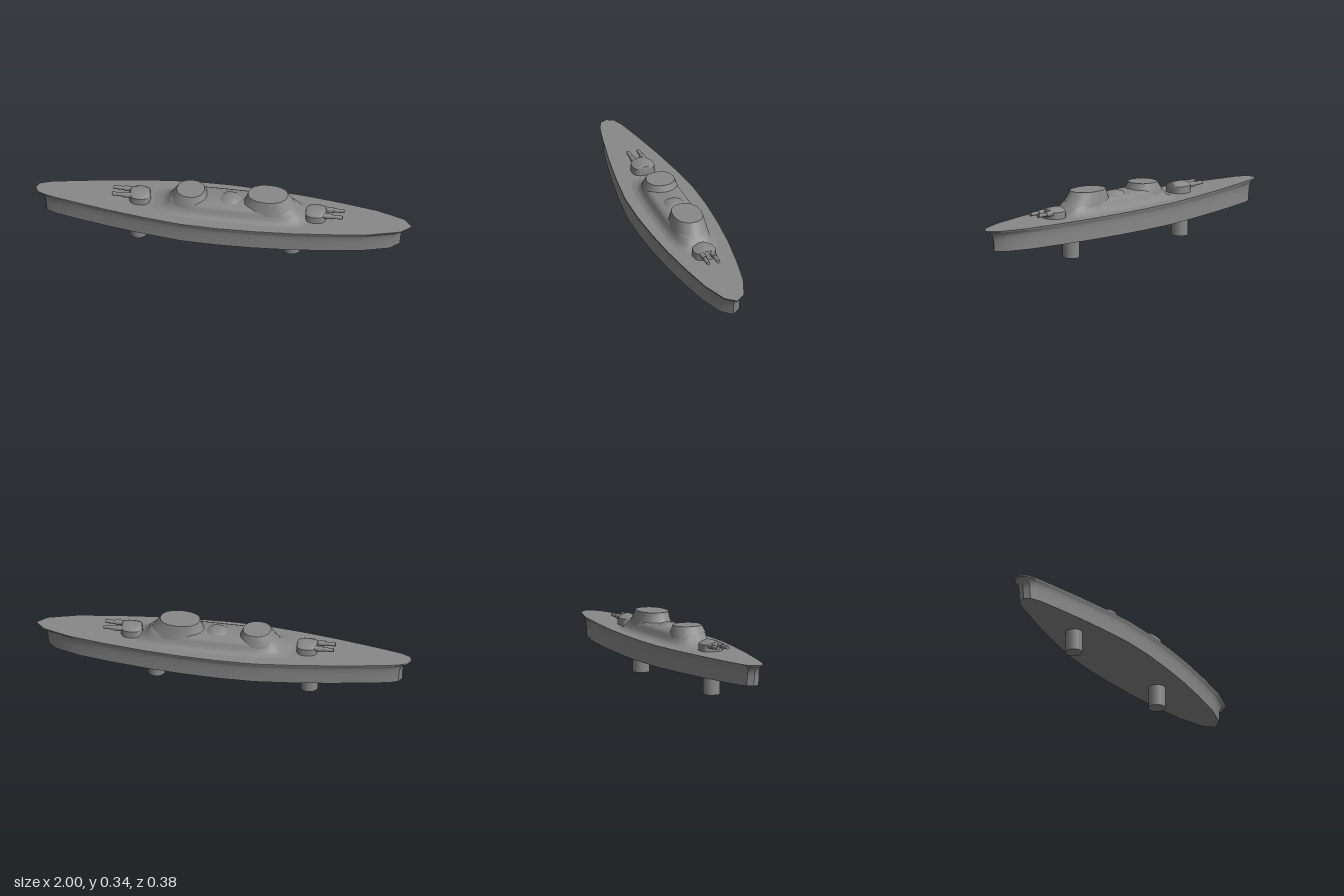
import * as THREE from 'three';
import { toCreasedNormals } from 'three/addons/utils/BufferGeometryUtils.js';

// Skin a stack of closed rings (bottom to top, counter-clockwise from above) and cap both ends
function loft(rings, crease = 0.7) {
  const n = rings[0].length;
  const pos = rings.flat(2);
  const index = [];
  for (let j = 0; j < rings.length - 1; j++) {
    for (let i = 0; i < n; i++) {
      const a = j * n + i, b = j * n + (i + 1) % n;
      index.push(a, b, b + n, a, b + n, a + n);
    }
  }
  const cap = (ring, first, up) => {
    const c = pos.length / 3;
    const xs = ring.map((p) => p[0]);
    pos.push((Math.min(...xs) + Math.max(...xs)) / 2, ring[0][1], 0);
    for (let i = 0; i < n; i++) {
      const a = first + i, b = first + (i + 1) % n;
      if (up) index.push(c, a, b); else index.push(c, b, a);
    }
  };
  cap(rings[0], 0, false);
  cap(rings[rings.length - 1], (rings.length - 1) * n, true);
  const geo = new THREE.BufferGeometry();
  geo.setAttribute('position', new THREE.Float32BufferAttribute(pos, 3));
  geo.setIndex(index);
  return toCreasedNormals(geo, crease);
}

// Half outline mirrored across the centre line; x runs from bow to stern
function mirrorRing(half, y) {
  const far = half.map(([x, z]) => [x, y, -z]);
  const near = half.slice(1, -1).reverse().map(([x, z]) => [x, y, z]);
  return [...far, ...near];
}

// Rounded oblong ring between x0 and x1; power below 1 squares the corners
function ovalRing(y, x0, x1, w, power = 1, n = 32) {
  const soft = (v) => Math.sign(v) * Math.abs(v) ** power;
  return Array.from({ length: n }, (_, i) => {
    const a = (i / n) * Math.PI * 2;
    return [(x0 + x1) / 2 + (x1 - x0) / 2 * soft(Math.cos(a)), y, -w * soft(Math.sin(a))];
  });
}

export function createModel() {
  const grey = new THREE.MeshStandardMaterial({ color: 0x888888 });
  grey.name = 'ship grey';
  const ship = new THREE.Group();
  ship.name = 'warship';
  const add = (name, geo, parent = ship) => {
    const mesh = new THREE.Mesh(geo, grey);
    mesh.name = name;
    parent.add(mesh);
    return mesh;
  };

  // Hull: upright sides flaring out to a thin deck edge
  const deckHalf = [[1, 0], [0.95, 0.055], [0.8, 0.105], [0.6, 0.14], [0.4, 0.167], [0.2, 0.184], [0, 0.192],
    [-0.2, 0.188], [-0.4, 0.163], [-0.6, 0.13], [-0.8, 0.09], [-0.93, 0.06], [-0.985, 0.036], [-1, 0]];
  const hullRing = (y, x0, x1, s) =>
    mirrorRing(deckHalf.map(([x, z]) => [x0 + (x + 1) / 2 * (x1 - x0), z * s]), y);
  add('hull', loft([
    hullRing(0.115, -0.95, 0.935, 0.945),
    hullRing(0.17, -0.953, 0.94, 0.945),
    hullRing(0.2, -0.96, 0.95, 0.955),
    hullRing(0.215, -0.975, 0.968, 0.97),
    hullRing(0.223, -0.998, 0.995, 0.998),
    hullRing(0.231, -1, 1, 1),
  ]));

  // Deckhouse with a skirt blending into the deck
  add('deckhouse', loft([
    ovalRing(0.23, -0.38, 0.46, 0.135, 0.5),
    ovalRing(0.237, -0.335, 0.435, 0.114, 0.5),
    ovalRing(0.25, -0.302, 0.415, 0.102, 0.5),
    ovalRing(0.272, -0.287, 0.397, 0.094, 0.5),
    ovalRing(0.286, -0.275, 0.383, 0.086, 0.5),
    ovalRing(0.294, -0.255, 0.36, 0.07, 0.5),
  ], 0.9));

  // Two flat-topped towers and the small hump between them
  add('lowTower', loft([
    ovalRing(0.265, -0.29, -0.07, 0.094, 0.9, 16),
    ovalRing(0.295, -0.272, -0.09, 0.089, 0.9, 16),
    ovalRing(0.327, -0.25, -0.103, 0.075, 0.9, 16),
  ]));
  add('highTower', loft([
    ovalRing(0.265, 0.08, 0.405, 0.095, 0.9, 16),
    ovalRing(0.3, 0.112, 0.372, 0.088, 0.9, 16),
    ovalRing(0.344, 0.128, 0.34, 0.078, 0.9, 16),
  ]));
  add('middleHump', loft([
    ovalRing(0.285, -0.03, 0.1, 0.06, 0.8, 12),
    ovalRing(0.302, -0.01, 0.08, 0.045, 0.8, 12),
    ovalRing(0.309, 0.01, 0.06, 0.02, 0.8, 12),
  ], 1.2));

  // Gun turrets facing outward at either end
  for (const [name, x, turn] of [['rightTurret', -0.445, Math.PI], ['leftTurret', 0.49, 0]]) {
    const turret = new THREE.Group();
    turret.name = name;
    turret.position.x = x;
    turret.rotation.y = turn;
    ship.add(turret);
    add('turretHousing', loft([
      ovalRing(0.228, -0.056, 0.056, 0.062, 0.75, 16),
      ovalRing(0.267, -0.056, 0.056, 0.06, 0.75, 16),
      ovalRing(0.28, -0.053, 0.053, 0.035, 0.75, 16),
      ovalRing(0.286, -0.04, 0.04, 0.012, 0.75, 16),
    ]), turret);
    for (const z of [-0.028, 0.028]) {
      const sleeve = add('gunSleeve', new THREE.CylinderGeometry(0.014, 0.015, 0.05, 12), turret);
      sleeve.rotation.z = -Math.PI / 2;
      sleeve.position.set(0.065, 0.263, z);
      const barrel = add('gunBarrel', new THREE.CylinderGeometry(0.01, 0.011, 0.1, 12), turret);
      barrel.rotation.z = -Math.PI / 2;
      barrel.position.set(0.095, 0.263, z);
    }
  }

  // Two pegs under the hull
  for (const [name, x] of [['rightPeg', -0.455], ['leftPeg', 0.36]]) {
    add(name, new THREE.CylinderGeometry(0.045, 0.045, 0.12, 24)).position.set(x, 0.06, 0);
  }
  return ship;
}
